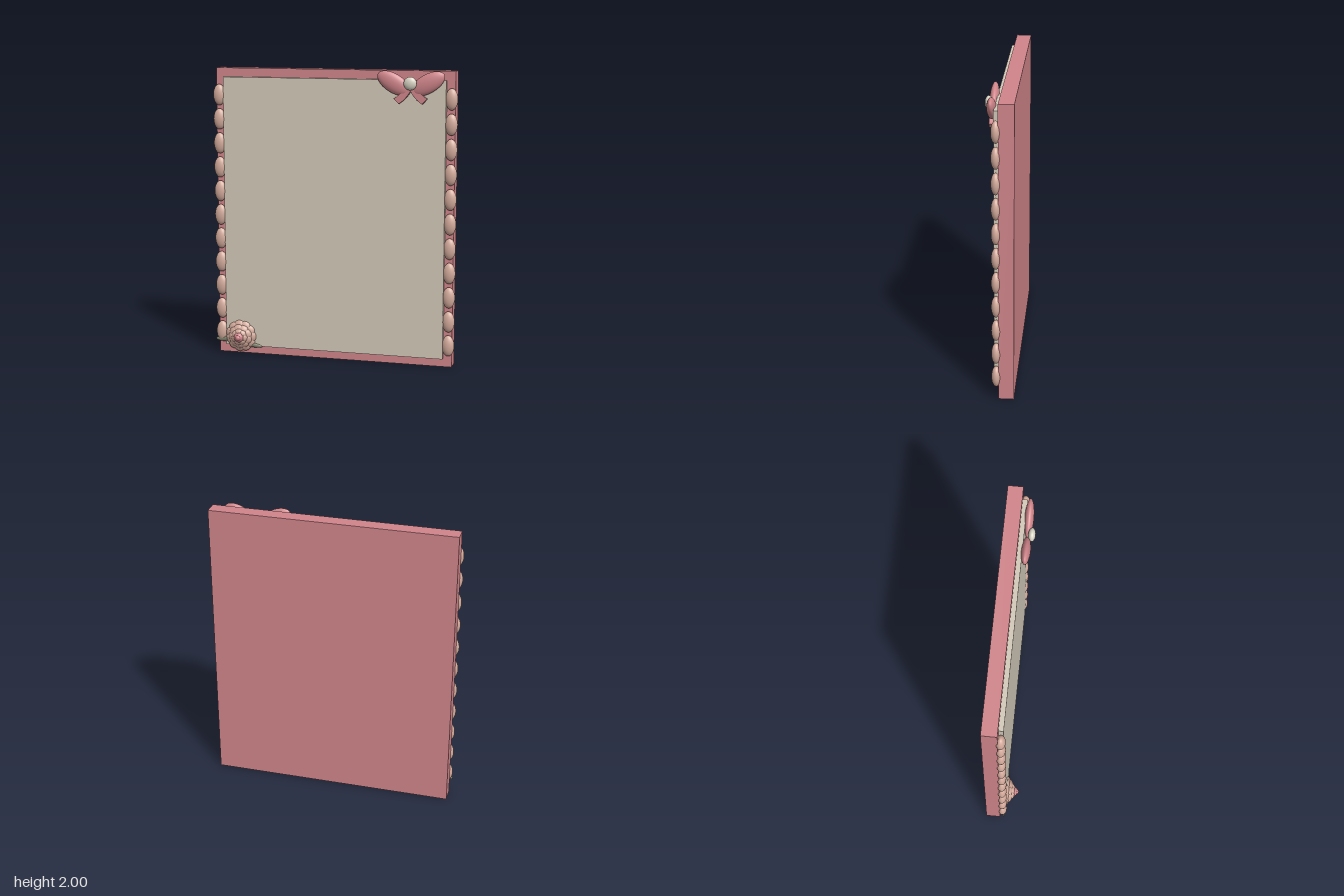
import * as THREE from 'three';

const mat = (name, color) => {
  const m = new THREE.MeshStandardMaterial({ color });
  m.name = name;
  return m;
};

export function createModel() {
  const pink = mat('rose pink', 0xd0858a);
  const cream = mat('cream', 0xd2c9b8);
  const blush = mat('blush', 0xd4ab9c);
  const pearl = mat('pearl', 0xd8d3c3);
  const sage = mat('sage', 0x83866f);

  const root = new THREE.Group();
  root.name = 'decoratedBoard';
  const sphere = new THREE.SphereGeometry(1, 28, 20);

  const add = (parent, name, geo, material, x, y, z) => {
    const m = new THREE.Mesh(geo, material);
    m.name = name;
    m.position.set(x, y, z);
    parent.add(m);
    return m;
  };
  const ellipsoid = (parent, name, material, pos, size, rotZ = 0) => {
    const m = add(parent, name, sphere, material, ...pos);
    m.scale.set(...size);
    m.rotation.z = rotZ;
    return m;
  };

  // Backing board and the raised front panel
  add(root, 'backBoard', new THREE.BoxGeometry(1.656, 2, 0.1), pink, -0.002, 1, -0.063);
  add(root, 'frontPanel', new THREE.BoxGeometry(1.54, 1.88, 0.036), cream, -0.002, 1, 0.001);

  // Bead strings down both sides
  const beads = new THREE.Group();
  beads.name = 'beadStrings';
  root.add(beads);
  for (const side of [-1, 1]) {
    for (let i = 0; i < 11; i++) {
      ellipsoid(beads, 'bead', blush, [side * 0.804 - 0.001, 0.153 + i * 0.1664, 0.003], [0.042, 0.072, 0.031]);
    }
  }

  // Bow in the upper corner
  const bow = new THREE.Group();
  bow.name = 'bow';
  bow.position.set(0.537, 1.918, 0.04);
  root.add(bow);
  for (const side of [-1, 1]) {
    ellipsoid(bow, 'bowLoop', pink, [side * 0.113, 0, 0], [0.1255, 0.062, 0.03], side * Math.PI / 6);
    // Curved tail strip
    const s = new THREE.Shape();
    s.moveTo(side * 0.035, -0.02);
    s.quadraticCurveTo(side * 0.06, -0.07, side * 0.108, -0.1);
    s.lineTo(side * 0.078, -0.131);
    s.quadraticCurveTo(side * 0.03, -0.1, 0, -0.045);
    s.closePath();
    add(bow, 'bowTail', new THREE.ExtrudeGeometry(s, {
      depth: 0.022, bevelEnabled: true, bevelSize: 0.003, bevelThickness: 0.004, bevelSegments: 2, curveSegments: 8,
    }), pink, 0, 0, -0.008);
  }
  ellipsoid(bow, 'bowKnot', pearl, [0, 0.002, 0.027], [0.044, 0.044, 0.024]);

  // Rose in the lower corner, built of rings of petals
  const rose = new THREE.Group();
  rose.name = 'rose';
  rose.position.set(-0.664, 0.129, 0);
  root.add(rose);
  const rings = [
    // count, radius, z, petal size (radial, tangential, depth), lean, material
    [11, 0.081, 0.022, [0.034, 0.036, 0.016], 0.35, blush],
    [9, 0.06, 0.041, [0.03, 0.032, 0.016], 0.55, blush],
    [7, 0.041, 0.057, [0.025, 0.027, 0.015], 0.8, blush],
    [5, 0.021, 0.076, [0.022, 0.021, 0.012], 1.0, pink],
  ];
  rings.forEach(([count, radius, z, size, lean, material], k) => {
    for (let i = 0; i < count; i++) {
      const turn = new THREE.Group();
      turn.name = 'petalTurn';
      turn.rotation.z = (i / count) * Math.PI * 2 + k * 0.4;
      rose.add(turn);
      const petal = ellipsoid(turn, 'petal', material, [radius, 0, z], size);
      petal.rotation.y = lean;
    }
  });
  ellipsoid(rose, 'roseHeart', blush, [0, 0, 0.03], [0.06, 0.06, 0.032]);
  ellipsoid(rose, 'roseBud', pink, [0, 0, 0.086], [0.02, 0.02, 0.021]);

  // Leaves tucked behind the rose
  ellipsoid(rose, 'leftLeaf', sage, [-0.12, -0.028, 0.014], [0.066, 0.02, 0.012], 0.06);
  ellipsoid(rose, 'rightLeaf', sage, [0.09, -0.062, 0.016], [0.066, 0.016, 0.012], -0.12);

  return root;
}
